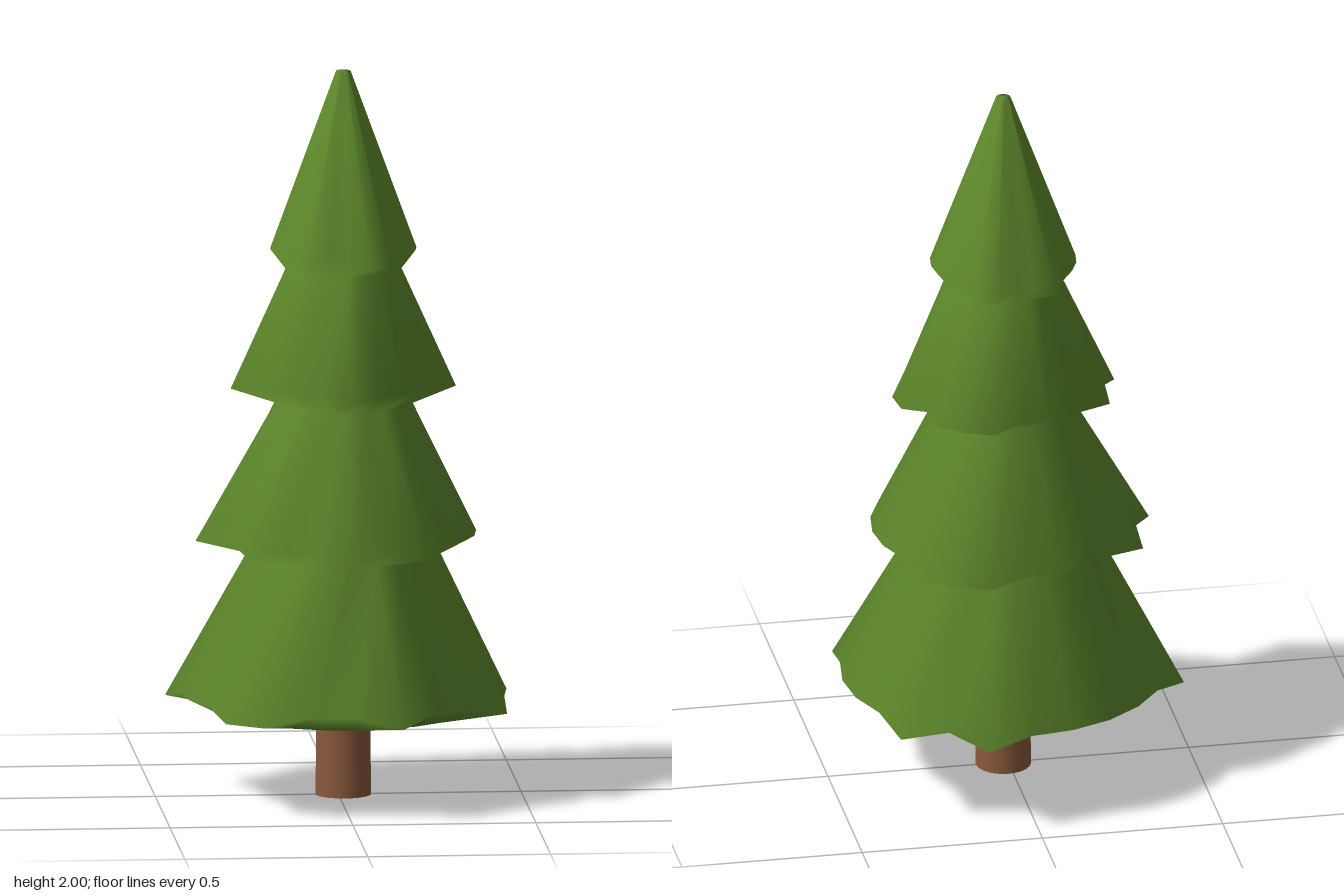
import * as THREE from 'three';

const SIDES = 24;

// Each tier: rim radius and height, radius and height at pulled-out tips,
// tucked-in ring beneath the rim, and tip directions in degrees (0 = +x, 90 = -z)
const TIERS = [
  { r: 0.2, y: 1.51, tipR: 0.228, tipY: 1.485, underR: 0.158, underY: 1.455, tips: [60, 75, 120, 240, 285, 300] },
  { r: 0.278, y: 1.145, tipR: 0.308, tipY: 1.125, underR: 0.187, underY: 1.085, tips: [0, 15, 45, 60, 75, 150, 180, 270] },
  { r: 0.363, y: 0.725, tipR: 0.404, tipY: 0.705, underR: 0.262, underY: 0.67, tips: [45, 60, 75, 150, 180, 225, 270, 300] },
  { r: 0.446, y: 0.285, tipR: 0.494, tipY: 0.258, underR: 0.345, underY: 0.235, tips: [45, 75, 165, 225, 240, 285, 330] },
];

// Skin lofted through rings from top to bottom, closed by a centre point at each end
function foliageGeometry() {
  const pos = [], index = [];
  const addRing = (radiusAt, heightAt) => {
    for (let i = 0; i < SIDES; i++) {
      const deg = (i * 360) / SIDES, a = THREE.MathUtils.degToRad(deg), r = radiusAt(deg);
      pos.push(r * Math.cos(a), heightAt(deg), -r * Math.sin(a));
    }
  };
  addRing(() => 0.02, () => 2);
  for (const t of TIERS) {
    const isTip = (deg) => t.tips.includes(deg);
    addRing((d) => (isTip(d) ? t.tipR : t.r), (d) => (isTip(d) ? t.tipY : t.y));
    addRing(() => t.underR, () => t.underY);
  }
  // hollow underside rising to the trunk
  addRing(() => 0.16, () => 0.262);
  const rings = pos.length / 3 / SIDES;
  for (let k = 0; k < rings - 1; k++) {
    for (let i = 0; i < SIDES; i++) {
      const j = (i + 1) % SIDES;
      const a = k * SIDES + i, b = k * SIDES + j, c = a + SIDES, d = b + SIDES;
      index.push(a, c, b, b, c, d);
    }
  }
  const top = pos.length / 3, bottom = top + 1, last = (rings - 1) * SIDES;
  pos.push(0, 2, 0, 0, 0.28, 0);
  for (let i = 0; i < SIDES; i++) {
    const j = (i + 1) % SIDES;
    index.push(top, i, j, bottom, last + j, last + i);
  }
  const g = new THREE.BufferGeometry();
  g.setAttribute('position', new THREE.Float32BufferAttribute(pos, 3));
  g.setIndex(index);
  g.computeVertexNormals();
  return g;
}

export function createModel() {
  const group = new THREE.Group();
  group.name = 'pineTree';

  const foliage = new THREE.Mesh(foliageGeometry(), new THREE.MeshStandardMaterial({ color: 0x5f8a2c }));
  foliage.name = 'foliage';
  foliage.position.x = 0.014;

  const trunk = new THREE.Mesh(
    new THREE.CylinderGeometry(0.073, 0.076, 0.29, SIDES),
    new THREE.MeshStandardMaterial({ color: 0x8a5a3c })
  );
  trunk.name = 'trunk';
  trunk.position.set(0.014, 0.145, 0);

  group.add(foliage, trunk);
  return group;
}
